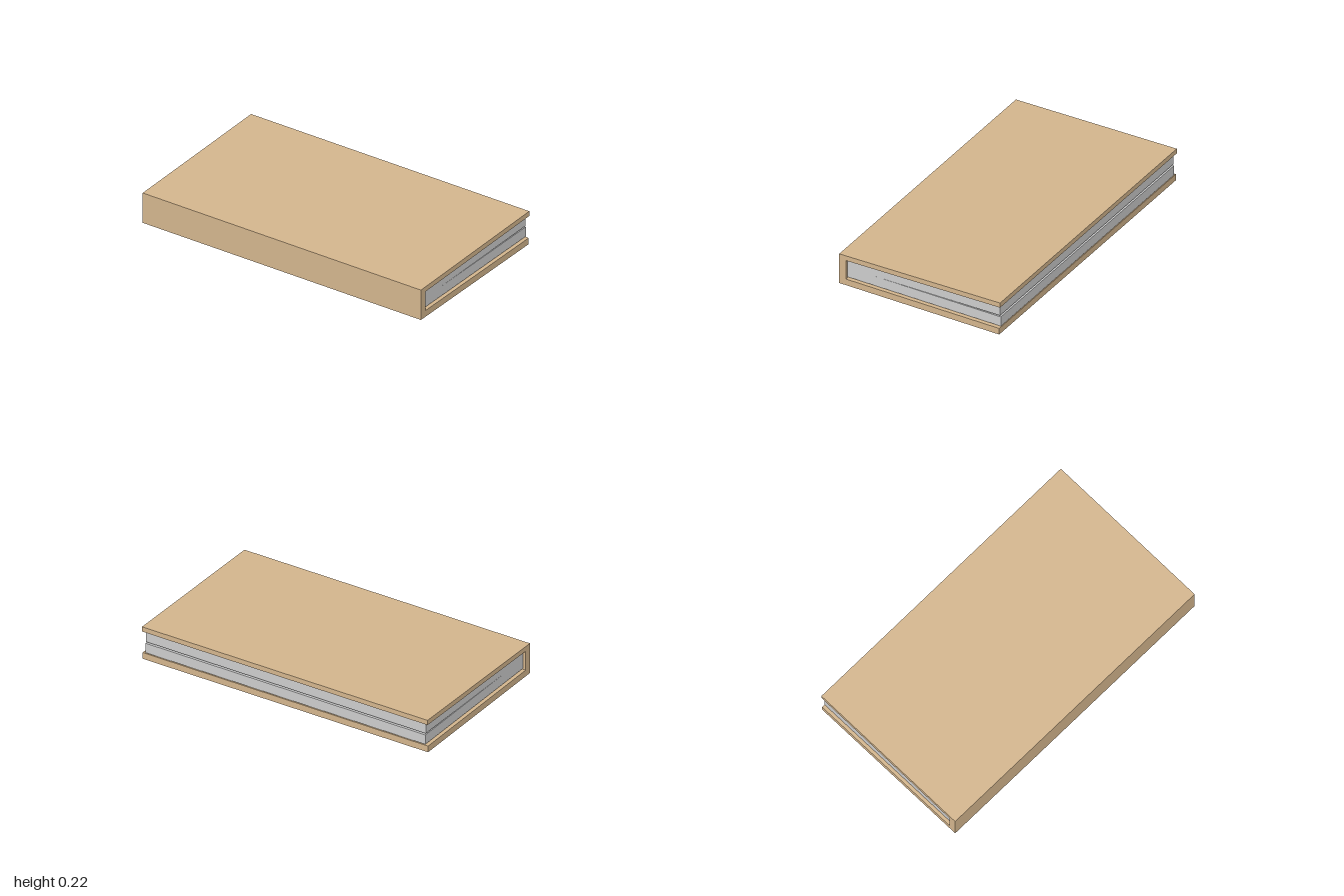
import * as THREE from 'three';

// Extrude a side profile along z, centred on z = 0
function slab(name, points, length, material) {
  const shape = new THREE.Shape(points.map(([x, y]) => new THREE.Vector2(x, y)));
  const geometry = new THREE.ExtrudeGeometry(shape, { depth: length, bevelEnabled: false });
  geometry.translate(0, 0, -length / 2);
  const mesh = new THREE.Mesh(geometry, material);
  mesh.name = name;
  return mesh;
}

export function createModel() {
  const group = new THREE.Group();
  group.name = 'book';
  const coverMaterial = new THREE.MeshStandardMaterial({ color: 0xd2b48c });
  const pageMaterial = new THREE.MeshStandardMaterial({ color: 0xcccccc });

  // Bottom board, spine and slightly raised top board in one C-shaped profile
  group.add(slab('cover', [
    [-0.553, 0], [0.547, 0], [0.547, 0.042], [-0.507, 0.042],
    [-0.507, 0.17], [0.553, 0.188], [0.553, 0.22], [-0.553, 0.202],
  ], 2, coverMaterial));

  // Page block, parted by a thin wedge that opens towards the fore edge
  group.add(slab('pages', [
    [-0.507, 0.047], [0.546, 0.047], [0.546, 0.111], [-0.325, 0.111],
    [0.541, 0.119], [0.541, 0.1878], [-0.507, 0.17],
  ], 1.96, pageMaterial));

  return group;
}
